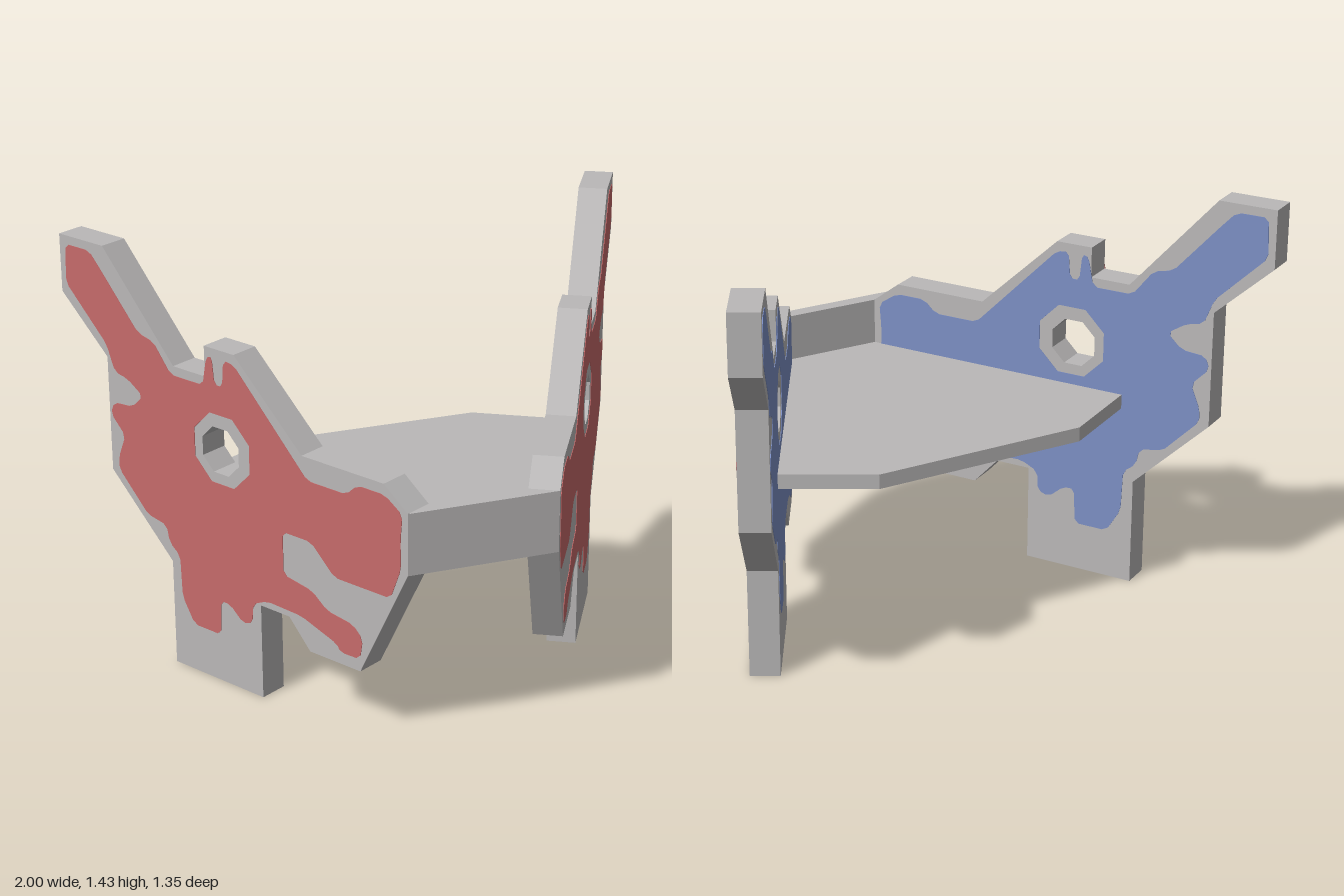
import * as THREE from 'three';

const grey = new THREE.MeshStandardMaterial({ color: 0xbab8b8 });
const red = new THREE.MeshStandardMaterial({ color: 0xc66a6a });
const blue = new THREE.MeshStandardMaterial({ color: 0x7c8fc4 });
grey.name = 'grey';
red.name = 'red';
blue.name = 'blue';

const ANGLE = Math.PI / 3;   // splay of the side panels
const THICK = 0.1;
const PAINT = 0.002;
const OUTER_X = 0.639;       // where a panel's outer face crosses z = 0

// Panel outline as z, y pairs on the outer face
const PANEL = [
  -0.45, 1.43, -0.625, 1.43, -0.625, 1.23, -0.45, 1.045, -0.45, 0.64, -0.217, 0.378,
  -0.217, 0, 0.13, 0, 0.13, 0.34, 0.238, 0.34, 0.315, 0.243, 0.5, 0.243,
  0.67, 0.64, 0.67, 0.85, 0.587, 0.924, 0.295, 0.924, 0.05, 1.192, -0.062, 1.192,
  -0.062, 1.087, -0.185, 1.087,
];

// Outline of the painted patch, z, y pairs
const PATCH = [
  -0.505, 1.4, -0.6, 1.4, -0.605, 1.265, -0.45, 1.09, -0.42, 1.0, -0.37, 0.99,
  -0.31, 0.945, -0.355, 0.895, -0.43, 0.888, -0.445, 0.845, -0.39, 0.78, -0.42, 0.695,
  -0.42, 0.65, -0.335, 0.55, -0.31, 0.52, -0.235, 0.505, -0.225, 0.445, -0.185, 0.41,
  -0.18, 0.26, -0.135, 0.173, -0.03, 0.173, -0.025, 0.3, 0.01, 0.3, 0.06, 0.25,
  0.097, 0.265, 0.1, 0.335, 0.155, 0.365, 0.285, 0.36, 0.415, 0.31, 0.43, 0.285,
  0.5, 0.287, 0.51, 0.36, 0.475, 0.4, 0.38, 0.415, 0.325, 0.465, 0.22, 0.485,
  0.22, 0.637, 0.325, 0.637, 0.41, 0.543, 0.61, 0.543, 0.647, 0.655, 0.645, 0.75,
  0.652, 0.84, 0.59, 0.888, 0.495, 0.888, 0.455, 0.845, 0.315, 0.845, 0.05, 1.157,
  0.012, 1.163, 0.005, 1.07, -0.025, 1.07, -0.033, 1.163, -0.053, 1.155, -0.07, 1.055,
  -0.195, 1.055, -0.26, 1.15, -0.32, 1.165, -0.46, 1.345,
];

// Clip every corner of a closed outline by a short length
function softenCorners(points, cut) {
  return points.flatMap((p, i) => {
    const neighbours = [points.at(i - 1), points[(i + 1) % points.length]];
    return neighbours.map((q) => p.clone().lerp(q, Math.min(0.25, cut / p.distanceTo(q))));
  });
}

// Turn z, y pairs into a shape in the panel's own plane, with an octagonal hole
function panelShape(pairs, side, cut, holeZ, holeY, holeRadius) {
  const along = (z) => -side * z / Math.sin(ANGLE);
  const points = [];
  for (let i = 0; i < pairs.length; i += 2) {
    points.push(new THREE.Vector2(along(pairs[i]), pairs[i + 1]));
  }
  const shape = new THREE.Shape(cut > 0 ? softenCorners(points, cut) : points);
  const hole = [];
  for (let i = 0; i < 8; i++) {
    const a = (i + 0.5) * Math.PI / 4;
    hole.push(new THREE.Vector2(along(holeZ) + holeRadius * Math.cos(a), holeY + holeRadius * Math.sin(a)));
  }
  shape.holes.push(new THREE.Path(hole));
  return shape;
}

function slab(name, shape, depth, material) {
  const mesh = new THREE.Mesh(new THREE.ExtrudeGeometry(shape, { depth, bevelEnabled: false }), material);
  mesh.name = name;
  return mesh;
}

// Horizontal slab from x, z corners of its +x half, mirrored to -x
function flatSlab(name, half, bottom, top) {
  const right = half.map(([x, z]) => new THREE.Vector2(x, -z));
  const left = half.map(([x, z]) => new THREE.Vector2(-x, -z)).reverse();
  const mesh = slab(name, new THREE.Shape([...right, ...left]), top - bottom, grey);
  mesh.geometry.rotateX(-Math.PI / 2);
  mesh.position.y = bottom;
  return mesh;
}

function sidePanel(side) {
  const group = new THREE.Group();
  group.name = side > 0 ? 'leftSidePanel' : 'rightSidePanel';

  const board = slab('panelBoard', panelShape(PANEL, side, 0, -0.01, 0.842, 0.086), THICK, grey);
  board.position.z = -THICK;

  const patch = panelShape(PATCH, side, 0.015, -0.004, 0.847, 0.131);
  const outside = slab('outerPaint', patch, PAINT, red);
  const inside = slab('innerPaint', patch, PAINT, blue);
  inside.position.z = -THICK - PAINT;

  group.add(board, outside, inside);
  group.rotation.y = side * ANGLE;
  group.position.x = side * OUTER_X;
  return group;
}

export function createModel() {
  const model = new THREE.Group();
  model.name = 'chair';

  // Splayed side panels
  for (const side of [1, -1]) model.add(sidePanel(side));

  // Front bar mitred between the panels
  model.add(flatSlab('frontBar', [[0.252, 0.67], [0.166, 0.62]], 0.64, 0.85));

  // Thin seat level with the bottom of the bar, widening towards the back
  model.add(flatSlab('seat', [[0.166, 0.62], [0.652, -0.222], [0.375, -0.385]], 0.64, 0.69));

  return model;
}
